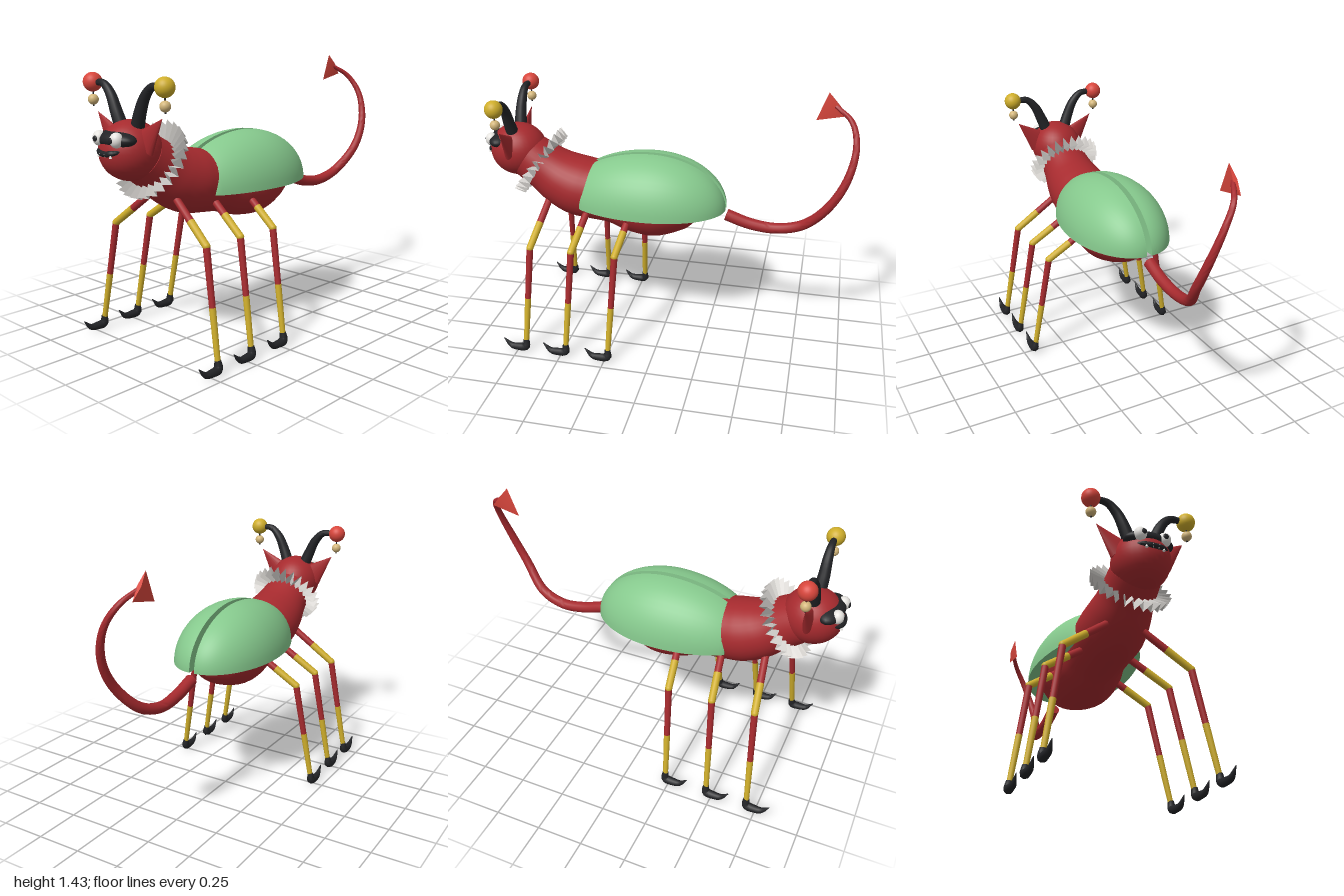
import * as THREE from 'three';
import { toCreasedNormals } from 'three/addons/utils/BufferGeometryUtils.js';

const paint = (name, color, extra = {}) => {
  const m = new THREE.MeshStandardMaterial({ color, ...extra });
  m.name = name;
  return m;
};
const V = (x, y, z) => new THREE.Vector3(x, y, z);

export function createModel() {
  const red = paint('deep red', 0xa62a2e);
  const brightRed = paint('bright red', 0xd8463c);
  const green = paint('leaf green', 0x86c98d);
  const yellow = paint('mustard yellow', 0xcfae2b);
  const tan = paint('tan', 0xd3b67a);
  const black = paint('black', 0x222326);
  const white = paint('off white', 0xe6e4e0);
  const cloth = paint('ruff white', 0xd4d1cd, { side: THREE.DoubleSide, flatShading: true });

  const root = new THREE.Group();
  root.name = 'beetleImp';
  const add = (name, geo, mat, parent = root) => {
    const m = new THREE.Mesh(geo, mat);
    m.name = name;
    parent.add(m);
    return m;
  };
  const ball = (name, mat, x, y, z, rx, ry = rx, rz = rx, parent = root) => {
    const m = add(name, new THREE.SphereGeometry(1, 32, 20), mat, parent);
    m.position.set(x, y, z);
    m.scale.set(rx, ry, rz);
    return m;
  };

  // Tube through [x, y, z, radius] points, with flat closed ends
  const taperTube = (pts, seg = 40, sides = 16) => {
    const curve = new THREE.CatmullRomCurve3(pts.map(p => V(p[0], p[1], p[2])));
    const radii = new THREE.CatmullRomCurve3(pts.map(p => V(p[3], 0, 0)), false, 'catmullrom');
    const geo = new THREE.TubeGeometry(curve, seg, 1, sides);
    const pos = geo.attributes.position;
    const v = V(0, 0, 0);
    for (let i = 0; i <= seg; i++) {
      const centre = curve.getPointAt(i / seg);
      const u = i <= 1 ? 0 : i >= seg - 1 ? 1 : i / seg;
      const target = curve.getPointAt(u);
      const r = i === 0 || i === seg ? 0 : radii.getPoint(curve.getUtoTmapping(u)).x;
      for (let j = 0; j <= sides; j++) {
        const k = i * (sides + 1) + j;
        v.fromBufferAttribute(pos, k).sub(centre).multiplyScalar(r).add(target);
        pos.setXYZ(k, v.x, v.y, v.z);
      }
    }
    return toCreasedNormals(geo, 0.8);
  };
  // Straight round bar between two points
  const bar = (name, mat, a, b, ra, rb, parent = root) => {
    const m = add(name, new THREE.CylinderGeometry(rb, ra, a.distanceTo(b), 14), mat, parent);
    m.position.copy(a).add(b).multiplyScalar(0.5);
    m.quaternion.setFromUnitVectors(V(0, 1, 0), b.clone().sub(a).normalize());
    return m;
  };

  // Abdomen, waist, thorax and neck in one skin
  const body = add('body', taperTube([
    [0, 0.805, -0.218, 0.02], [0, 0.805, -0.2, 0.074], [0, 0.805, -0.13, 0.146],
    [0, 0.805, 0, 0.197], [0, 0.805, 0.09, 0.205], [0, 0.805, 0.18, 0.19],
    [0, 0.815, 0.28, 0.165], [0, 0.83, 0.4, 0.165], [0, 0.845, 0.49, 0.167],
    [0, 0.88, 0.58, 0.155], [0, 0.935, 0.67, 0.135], [0, 1.0, 0.77, 0.125],
  ], 72, 36), red);
  body.scale.x = 1.06;

  // Wing cases: a clipped quarter ellipsoid each side of a narrow slot
  for (const s of [1, -1]) {
    const geo = new THREE.SphereGeometry(1, 48, 64).rotateX(Math.PI / 2);
    const pos = geo.attributes.position;
    for (let i = 0; i < pos.count; i++) {
      const x = Math.max(s * pos.getX(i), 0);
      const y = Math.max(pos.getY(i), 0);
      const z = pos.getZ(i);
      pos.setXYZ(i, s * (0.015 + 0.252 * x), 0.78 + 0.285 * y,
        Math.min(0.075 + z * (z > 0 ? 0.48 : 0.41), 0.44));
    }
    add(s > 0 ? 'leftWingCase' : 'rightWingCase', toCreasedNormals(geo, 0.7), green);
  }

  // Head and face
  const head = new THREE.Group();
  head.name = 'head';
  root.add(head);
  ball('skull', red, 0, 1.035, 0.83, 0.145, 0.145, 0.155, head);
  ball('mask', black, 0, 1.095, 0.915, 0.13, 0.043, 0.068, head);
  add('mouth', taperTube([
    [-0.09, 1.055, 0.936, 0.005], [-0.05, 1.04, 0.972, 0.013], [0, 1.034, 0.984, 0.014],
    [0.05, 1.04, 0.972, 0.013], [0.09, 1.055, 0.936, 0.005],
  ], 30, 10), black, head);
  for (const x of [-0.045, -0.015, 0.015, 0.045]) {
    const tooth = add('tooth', new THREE.ConeGeometry(0.008, 0.02, 8), white, head);
    tooth.position.set(x, 1.028, 0.994 - Math.abs(x) * 0.25);
    tooth.rotation.x = Math.abs(x) > 0.03 ? 0 : Math.PI;
  }

  for (const s of [1, -1]) {
    const side = s > 0 ? 'left' : 'right';
    ball(side + 'Eye', white, s * 0.063, 1.1, 0.96, 0.033, 0.036, 0.032, head);
    ball(side + 'Pupil', black, s * 0.057, 1.1, 0.99, 0.014, 0.014, 0.006, head);

    // Pointed flattened ear
    const ear = add(side + 'Ear', new THREE.ConeGeometry(0.07, 0.18, 20), red, head);
    const dir = V(s * 0.125, 0.125, 0).normalize();
    ear.position.set(s * 0.172, 1.137, 0.835);
    ear.quaternion.setFromUnitVectors(V(0, 1, 0), dir);
    ear.scale.z = 0.4;

    // Curved horn with pompom and hanging bell
    add(side + 'Horn', taperTube([
      [s * 0.06, 1.145, 0.835, 0.034], [s * 0.088, 1.215, 0.84, 0.03],
      [s * 0.125, 1.29, 0.84, 0.025], [s * 0.175, 1.337, 0.84, 0.019],
      [s * 0.25, 1.34, 0.84, 0.014],
    ], 32, 14), black, head);
    ball(side + 'Pompom', s > 0 ? yellow : brightRed, s * 0.262, 1.341, 0.84, 0.047, 0.047, 0.047, head);
    bar(side + 'BellString', black, V(s * 0.262, 1.225, 0.84), V(s * 0.262, 1.31, 0.84), 0.004, 0.004, head);
    ball(side + 'Bell', tan, s * 0.262, 1.257, 0.84, 0.026, 0.026, 0.026, head);
  }

  // Pleated ruff: rings of alternating folds, inner to outer
  const pleats = 26, n = pleats * 2;
  const rings = [[0.11, 0.012], [0.205, 0.029]];
  const verts = [], faces = [];
  for (let i = 0; i < n; i++) {
    const a = (i / n) * Math.PI * 2, f = i % 2 ? 1 : -1;
    for (const [r, d] of rings) {
      const rr = r + f * 0.008;
      verts.push(rr * Math.cos(a), rr * Math.sin(a), f * d);
    }
    const p = i * 2, q = ((i + 1) % n) * 2;
    faces.push(p, p + 1, q + 1, p, q + 1, q);
  }
  const ruffGeo = new THREE.BufferGeometry();
  ruffGeo.setAttribute('position', new THREE.Float32BufferAttribute(verts, 3));
  ruffGeo.setIndex(faces);
  ruffGeo.computeVertexNormals();
  const ruff = add('ruff', ruffGeo, cloth);
  ruff.position.set(0, 0.968, 0.7);
  ruff.rotation.x = -0.617;

  // Tail with flattened arrow tip
  add('tail', taperTube([
    [0, 0.745, -0.338, 0.032], [0, 0.703, -0.47, 0.031], [0, 0.69, -0.61, 0.029],
    [0.02, 0.735, -0.75, 0.027], [0.07, 0.875, -0.875, 0.024], [0.065, 1.035, -0.955, 0.021],
    [0.015, 1.195, -0.982, 0.017], [-0.05, 1.3, -0.95, 0.014], [-0.102, 1.36, -0.865, 0.011],
  ], 64, 16), red);
  const tipGeo = new THREE.ConeGeometry(0.078, 0.14, 4).scale(0.15, 1, 1);
  const tip = add('tailTip', toCreasedNormals(tipGeo, 0.3), brightRed);
  tip.position.set(-0.104, 1.325, -0.823);
  tip.rotation.x = Math.atan2(0.105, -0.09);

  // Three pairs of banded legs with hooked claws
  const legRows = [['front', 0.7, 0.78], ['middle', 0.47, 0.765], ['rear', 0.23, 0.765]];
  for (const [row, z, hipY] of legRows) {
    for (const s of [1, -1]) {
      const leg = new THREE.Group();
      leg.name = row + (s > 0 ? 'Left' : 'Right') + 'Leg';
      root.add(leg);
      const hip = V(s * 0.1, hipY, z - 0.062), knee = V(s * 0.338, 0.6, z - 0.027);
      const ankle = V(s * 0.436, 0.04, z);
      const thighBand = hip.clone().lerp(knee, 0.48), shinBand = knee.clone().lerp(ankle, 0.51);
      bar('upperThigh', red, hip, thighBand, 0.019, 0.019, leg);
      bar('lowerThigh', yellow, thighBand, knee, 0.02, 0.019, leg);
      ball('knee', yellow, knee.x, knee.y, knee.z, 0.019, 0.019, 0.019, leg);
      bar('upperShin', red, knee, shinBand, 0.018, 0.016, leg);
      bar('lowerShin', yellow, shinBand, ankle, 0.017, 0.014, leg);
      add('claw', taperTube([
        [s * 0.433, 0.07, z, 0.016], [s * 0.438, 0.028, z + 0.002, 0.023],
        [s * 0.44, 0.021, z + 0.045, 0.021], [s * 0.44, 0.026, z + 0.085, 0.016],
        [s * 0.44, 0.068, z + 0.128, 0.002],
      ], 20, 8), black, leg);
    }
  }

  return root;
}
